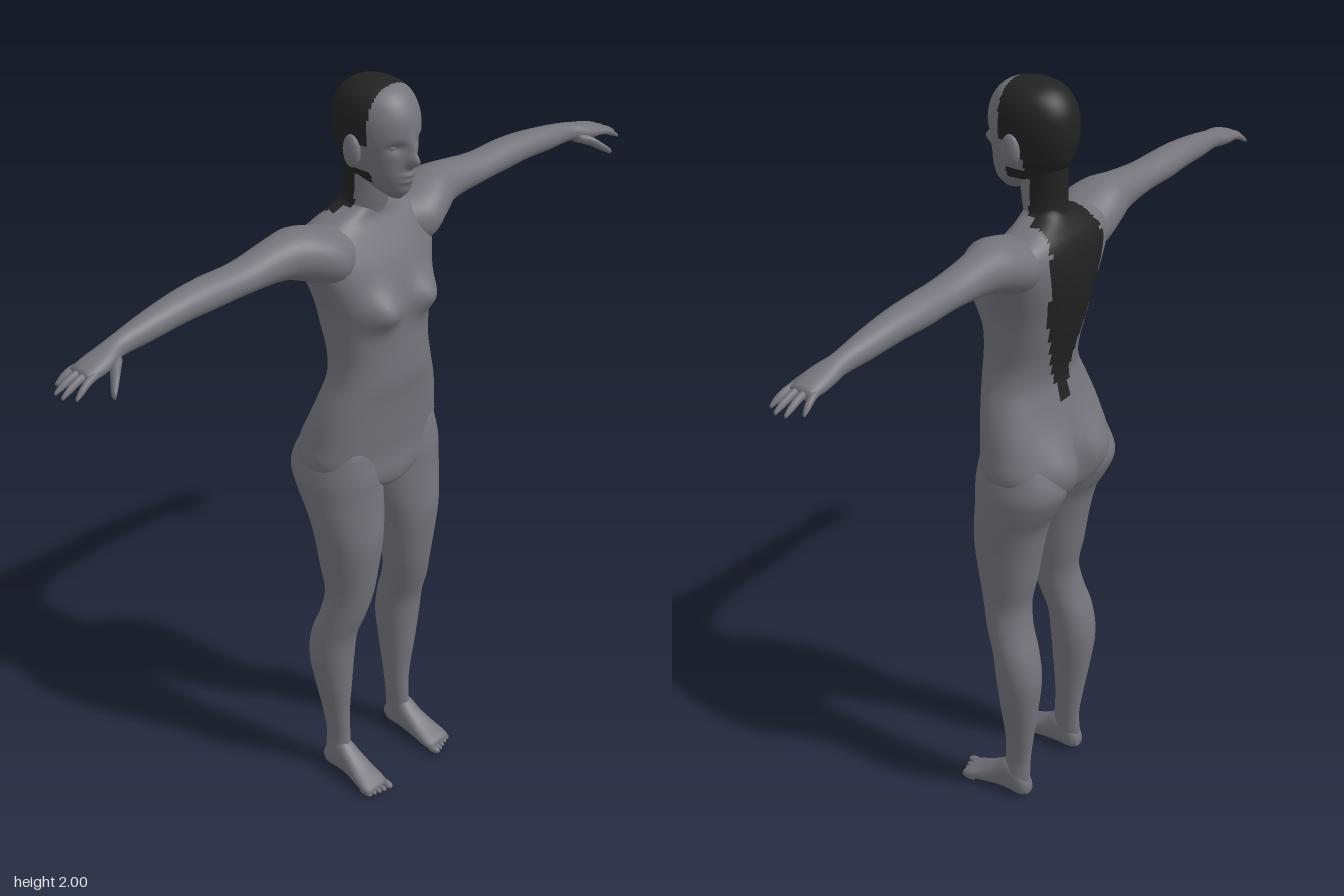
import * as THREE from 'three';

const skin = new THREE.MeshStandardMaterial({ color: 0x74737a });
skin.name = 'body grey';
const hair = new THREE.MeshStandardMaterial({ color: 0x222222 });
hair.name = 'hair black';

const bell = (d, w) => Math.exp(-(d * d) / (w * w));

// Smooth interpolation of the rows [position, uMin, uMax, vMin, vMax]
function refine(rows, steps) {
  const out = [];
  const slope = (i, k) => {
    const a = rows[Math.max(i - 1, 0)], b = rows[Math.min(i + 1, rows.length - 1)];
    return (b[k] - a[k]) / (b[0] - a[0]);
  };
  for (let i = 0; i < rows.length - 1; i++) {
    const h = rows[i + 1][0] - rows[i][0];
    for (let s = 0; s < steps; s++) {
      const t = s / steps, t2 = t * t, t3 = t2 * t;
      out.push(rows[i].map((a, k) => k === 0 ? a + h * t :
        (2 * t3 - 3 * t2 + 1) * a + (t3 - 2 * t2 + t) * h * slope(i, k) +
        (3 * t2 - 2 * t3) * rows[i + 1][k] + (t3 - t2) * h * slope(i + 1, k)));
    }
  }
  out.push(rows[rows.length - 1]);
  return out;
}

// Closed loft along an axis; u and v follow the axis cyclically (y: z,x  x: y,z  z: x,y)
function loft(axis, input, { steps = 4, sides = 32, power = 1, sculpt, isHair } = {}) {
  const rows = refine([...input].sort((a, b) => a[0] - b[0]), steps);
  const flat = r => [r[0], (r[1] + r[2]) / 2, (r[1] + r[2]) / 2, (r[3] + r[4]) / 2, (r[3] + r[4]) / 2];
  rows.unshift(flat(rows[0]));
  rows.push(flat(rows[rows.length - 1]));
  const bend = n => Math.sign(n) * Math.pow(Math.abs(n), power);
  const points = [];
  for (const [p, u0, u1, v0, v1] of rows) {
    for (let j = 0; j < sides; j++) {
      const t = j / sides * Math.PI * 2;
      const u = (u0 + u1) / 2 + (u1 - u0) / 2 * bend(Math.cos(t));
      const v = (v0 + v1) / 2 + (v1 - v0) / 2 * bend(Math.sin(t));
      const q = axis === 'y' ? new THREE.Vector3(v, p, u)
        : axis === 'x' ? new THREE.Vector3(p, u, v) : new THREE.Vector3(u, v, p);
      if (sculpt) sculpt(q);
      points.push(q);
    }
  }
  const plain = [], dark = [];
  for (let i = 0; i < rows.length - 1; i++) {
    for (let j = 0; j < sides; j++) {
      const a = i * sides + j, b = i * sides + (j + 1) % sides, c = a + sides, d = b + sides;
      const mid = points[a].clone().add(points[d]).multiplyScalar(0.5);
      (isHair && isHair(mid) ? dark : plain).push(a, b, c, b, d, c);
    }
  }
  const geometry = new THREE.BufferGeometry().setFromPoints(points);
  geometry.setIndex([...plain, ...dark]);
  geometry.addGroup(0, plain.length, 0);
  if (dark.length) geometry.addGroup(plain.length, dark.length, 1);
  geometry.computeVertexNormals();
  return geometry;
}

function mirrored(geometry) {
  const copy = geometry.clone();
  for (const key of ['position', 'normal']) {
    const attr = copy.attributes[key];
    for (let i = 0; i < attr.count; i++) attr.setX(i, -attr.getX(i));
  }
  const ids = copy.index.array;
  for (let i = 0; i < ids.length; i += 3) [ids[i], ids[i + 1]] = [ids[i + 1], ids[i]];
  return copy;
}

const ball = (x, y, z, rx, ry, rz) =>
  new THREE.SphereGeometry(1, 16, 10).scale(rx, ry, rz).translate(x, y, z);

// Hair region: cap around the ears, nape, and long lock tapering down the back
function hairRegion({ x, y, z }) {
  if (y > 1.87) return z < 0.052;
  if (y > 1.8) return z < -0.01;
  if (y > 1.768) return z < 0.045;
  if (y > 1.69) return z < -0.015;
  const w = y > 1.6 ? 0.11 - (y - 1.6) * 0.3
    : y > 1.45 ? 0.095 + (y - 1.45) * 0.1 : 0.012 + (y - 1.2) * 0.33;
  return y > 1.2 && z < -0.04 && Math.abs(x) < w;
}

const sym = rows => rows.map(([y, z0, z1, w]) => [y, z0, z1, -w, w]);

export function createModel() {
  const model = new THREE.Group();
  model.name = 'figure';
  const add = (name, geometry) => {
    const mesh = new THREE.Mesh(geometry, geometry.groups.length ? [skin, hair] : skin);
    mesh.name = name;
    model.add(mesh);
  };
  const pair = (name, geometry) => {
    geometry.clearGroups();
    add('left' + name, geometry);
    add('right' + name, mirrored(geometry));
  };

  // Torso with bust and buttocks
  add('torso', loft('y', sym([
    [0.915, -0.06, 0.03, 0.01], [0.94, -0.11, 0.075, 0.07], [0.98, -0.135, 0.09, 0.17],
    [1.04, -0.138, 0.088, 0.205], [1.1, -0.123, 0.092, 0.198], [1.15, -0.105, 0.095, 0.188],
    [1.2, -0.088, 0.1, 0.172], [1.26, -0.075, 0.108, 0.148], [1.32, -0.083, 0.108, 0.138],
    [1.4, -0.103, 0.105, 0.145], [1.46, -0.115, 0.103, 0.155], [1.52, -0.125, 0.092, 0.175],
    [1.57, -0.128, 0.073, 0.195], [1.61, -0.125, 0.052, 0.203], [1.64, -0.115, 0.035, 0.185],
    [1.665, -0.1, 0.022, 0.125], [1.69, -0.085, 0.018, 0.062], [1.71, -0.076, 0.015, 0.045],
  ]), {
    steps: 6, sides: 72, power: 0.85, isHair: hairRegion,
    sculpt(p) {
      const ax = Math.abs(p.x);
      if (p.z > 0) p.z += 0.036 * bell(ax - 0.075, 0.05) * bell(p.y - 1.46, 0.045);
      else if (p.z < -0.03) {
        p.z -= 0.024 * bell(ax - 0.085, 0.06) * bell(p.y - 1.04, 0.07);
        p.z += 0.03 * bell(ax, 0.018) * bell(p.y - 1.02, 0.08);
      }
    },
  }));

  // Neck
  add('neck', loft('y', sym([
    [1.62, -0.1, 0.01, 0.06], [1.68, -0.088, 0.022, 0.057], [1.71, -0.081, 0.03, 0.052],
    [1.75, -0.082, 0.036, 0.049], [1.82, -0.08, 0.03, 0.05],
  ]), { steps: 6, sides: 48, isHair: hairRegion }));

  // Head with nose, eye sockets and lips
  add('head', loft('y', sym([
    [1.728, 0.045, 0.085, 0.014], [1.75, 0.0, 0.104, 0.036], [1.78, -0.055, 0.109, 0.056],
    [1.81, -0.087, 0.111, 0.069], [1.85, -0.101, 0.114, 0.08], [1.88, -0.106, 0.119, 0.085],
    [1.92, -0.104, 0.116, 0.086], [1.95, -0.094, 0.105, 0.08], [1.975, -0.075, 0.086, 0.066],
    [1.992, -0.048, 0.058, 0.041], [2.0, -0.015, 0.02, 0.012],
  ]), {
    steps: 8, sides: 96, power: 0.95, isHair: hairRegion,
    sculpt(p) {
      if (p.z < 0.05) return;
      const ax = Math.abs(p.x);
      p.z += 0.028 * bell(ax, 0.012) * bell(p.y - 1.83, 0.017)
        + 0.012 * bell(ax, 0.011) * bell(p.y - 1.857, 0.022)
        + 0.008 * bell(ax, 0.022) * (bell(p.y - 1.794, 0.007) + bell(p.y - 1.779, 0.007))
        - 0.012 * bell(ax - 0.035, 0.018) * bell(p.y - 1.866, 0.013);
    },
  }));
  pair('Eye', ball(0.035, 1.866, 0.089, 0.013, 0.008, 0.009));
  pair('Ear', ball(0.086, 1.85, 0.012, 0.014, 0.04, 0.025).rotateX(0));

  // Arms, running into the palms
  pair('Arm', loft('x', [
    [0.08, 1.54, 1.655, -0.1, 0.03], [0.15, 1.53, 1.672, -0.11, 0.062],
    [0.22, 1.56, 1.69, -0.105, 0.043], [0.28, 1.582, 1.686, -0.092, 0.018],
    [0.4, 1.593, 1.67, -0.08, 0.01], [0.5, 1.593, 1.67, -0.08, 0.006],
    [0.58, 1.595, 1.666, -0.075, 0.004], [0.68, 1.59, 1.653, -0.065, 0],
    [0.76, 1.588, 1.638, -0.055, -0.004], [0.8, 1.58, 1.628, -0.057, 0.01],
    [0.84, 1.576, 1.618, -0.057, 0.015], [0.872, 1.58, 1.606, -0.052, 0.01],
  ]));

  // Fingers: [root z, tip z, tip x]
  [[-0.046, -0.058, 0.905], [-0.028, -0.03, 0.93], [-0.01, -0.004, 0.932], [0.006, 0.022, 0.915]]
    .forEach(([z0, z1, tip], i) => {
      const rows = [[0, 1.595, 0.009], [0.4, 1.591, 0.009], [0.75, 1.58, 0.008], [1, 1.569, 0.004]];
      pair('Finger' + (i + 1), loft('x', rows.map(([t, y, r]) => {
        const z = z0 + (z1 - z0) * t;
        return [0.845 + (tip - 0.845) * t, y - r, y + r, z - r, z + r];
      }), { sides: 10 }));
    });
  pair('Thumb', loft('x', [
    [0.775, 1.585, 1.61, -0.025, 0.005], [0.805, 1.573, 1.6, 0.0, 0.032],
    [0.825, 1.56, 1.583, 0.022, 0.048], [0.842, 1.55, 1.566, 0.044, 0.06],
  ], { sides: 14 }));

  // Legs
  pair('Leg', loft('y', [
    [1.08, -0.12, 0.075, 0.02, 0.188], [1.0, -0.15, 0.088, 0.004, 0.209],
    [0.94, -0.13, 0.09, 0.001, 0.208], [0.88, -0.098, 0.094, 0.006, 0.203],
    [0.8, -0.08, 0.1, 0.02, 0.19], [0.7, -0.065, 0.09, 0.035, 0.177],
    [0.62, -0.05, 0.078, 0.048, 0.169], [0.55, -0.06, 0.06, 0.058, 0.178],
    [0.48, -0.083, 0.036, 0.066, 0.187], [0.4, -0.095, 0.027, 0.07, 0.186],
    [0.3, -0.085, 0.02, 0.08, 0.17], [0.2, -0.07, 0.012, 0.088, 0.152],
    [0.12, -0.06, 0.014, 0.093, 0.143], [0.06, -0.06, 0.02, 0.096, 0.148],
    [0.015, -0.055, 0.02, 0.1, 0.145],
  ], { sides: 40, power: 0.95 }));

  // Feet and toes
  pair('Foot', loft('z', [
    [-0.063, 0.108, 0.137, 0.012, 0.045], [-0.045, 0.098, 0.148, 0.002, 0.075],
    [0.0, 0.094, 0.15, 0.002, 0.105], [0.04, 0.09, 0.154, 0.003, 0.078],
    [0.08, 0.087, 0.162, 0.002, 0.052], [0.115, 0.086, 0.167, 0, 0.034],
    [0.135, 0.09, 0.163, 0.002, 0.024],
  ], { power: 0.8 }));
  for (let i = 0; i < 5; i++) {
    const r = i ? 0.0075 : 0.011;
    pair('Toe' + (i + 1), ball(i ? 0.1 + i * 0.0145 : 0.097, r + 0.001, 0.137 - i * 0.005, r, r, 0.022));
  }
  return model;
}
